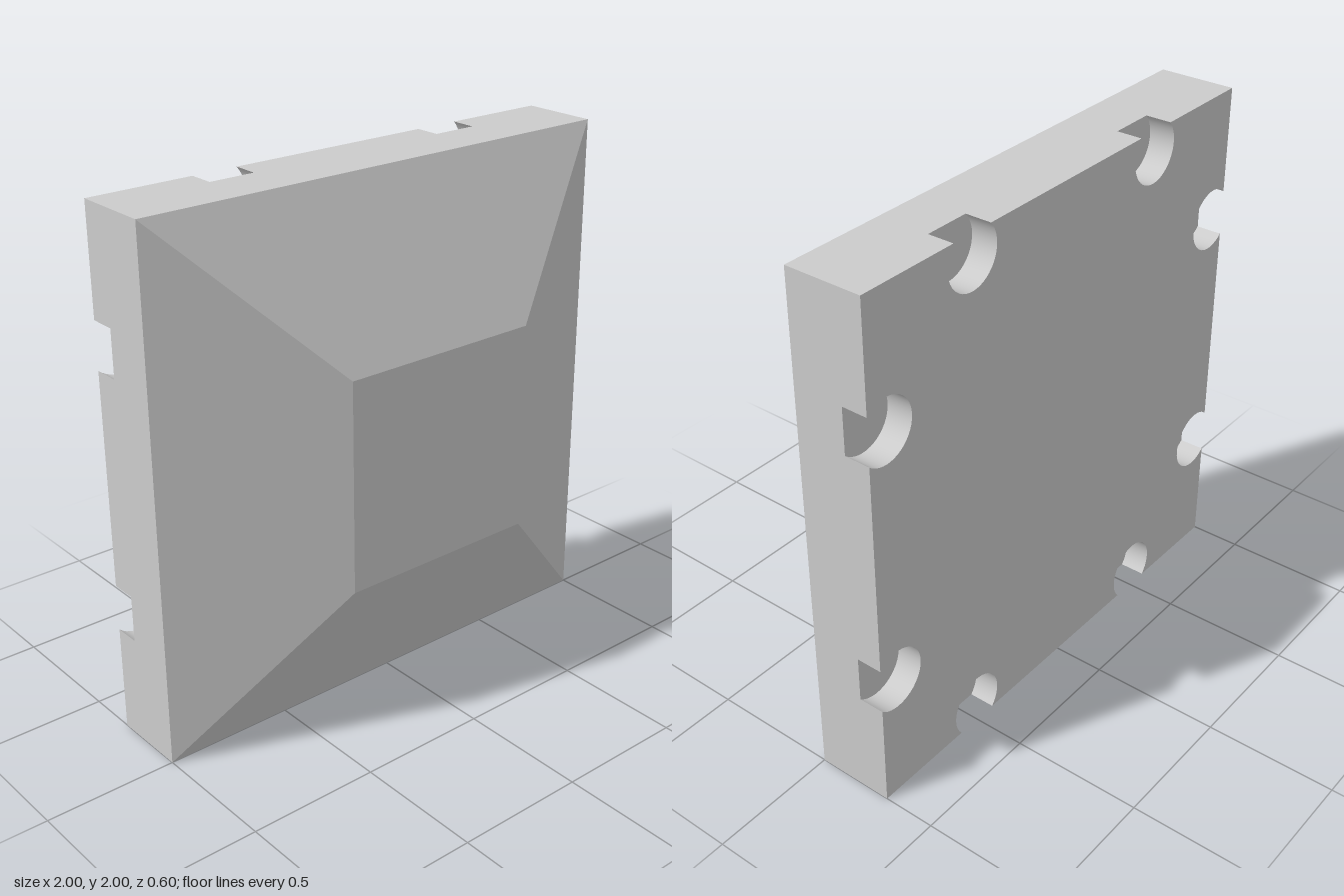
import * as THREE from 'three';
import { toCreasedNormals } from 'three/addons/utils/BufferGeometryUtils.js';

const NOTCH_RADIUS = 0.12;
const NOTCH_INSET = 0.08; // notch centre to panel edge

// Square outline with two open round notches in every side
function notchedOutline() {
  const shape = new THREE.Shape();
  const open = Math.asin(NOTCH_INSET / NOTCH_RADIUS);
  const corner = new THREE.Vector2(-1, -1);
  shape.moveTo(corner.x, corner.y);
  const origin = new THREE.Vector2();
  for (let side = 0; side < 4; side++) {
    const turn = side * Math.PI / 2;
    for (const s of [-0.5, 0.5]) {
      const c = new THREE.Vector2(s, -1 + NOTCH_INSET).rotateAround(origin, turn);
      shape.absarc(c.x, c.y, NOTCH_RADIUS, Math.PI + open + turn, -open + turn, true);
    }
    const end = new THREE.Vector2(1, -1).rotateAround(origin, turn);
    shape.lineTo(end.x, end.y);
  }
  return shape;
}

// Closed solid from square cross-sections [half size, z], back to front
function squareLoft(sections) {
  const corners = [[-1, -1], [1, -1], [1, 1], [-1, 1]];
  const positions = [];
  const indices = [];
  for (const [h, z] of sections) {
    for (const [x, y] of corners) positions.push(x * h, y * h, z);
  }
  for (let i = 0; i < sections.length - 1; i++) {
    for (let j = 0; j < 4; j++) {
      const a = i * 4 + j, b = i * 4 + (j + 1) % 4;
      indices.push(a, b, b + 4, a, b + 4, a + 4);
    }
  }
  const f = (sections.length - 1) * 4;
  indices.push(0, 2, 1, 0, 3, 2, f, f + 1, f + 2, f, f + 2, f + 3);
  const geometry = new THREE.BufferGeometry();
  geometry.setAttribute('position', new THREE.Float32BufferAttribute(positions, 3));
  geometry.setIndex(indices);
  const flat = geometry.toNonIndexed();
  flat.computeVertexNormals();
  return flat;
}

export function createModel() {
  const group = new THREE.Group();
  group.name = 'bevelledPanel';
  const material = new THREE.MeshStandardMaterial({ color: 0xcccccc });

  // Slab and sloped raised face; its back is the floor of the notches
  const front = new THREE.Mesh(squareLoft([[1, -0.2], [1, 0], [0.4, 0.3]]), material);
  front.name = 'raisedFront';

  // Back layer with the notches cut through it
  const backGeometry = new THREE.ExtrudeGeometry(notchedOutline(), {
    depth: 0.1, bevelEnabled: false, curveSegments: 16,
  });
  backGeometry.translate(0, 0, -0.3);
  const back = new THREE.Mesh(toCreasedNormals(backGeometry, 0.5), material);
  back.name = 'notchedBack';

  for (const mesh of [front, back]) {
    mesh.position.y = 1;
    group.add(mesh);
  }
  return group;
}
